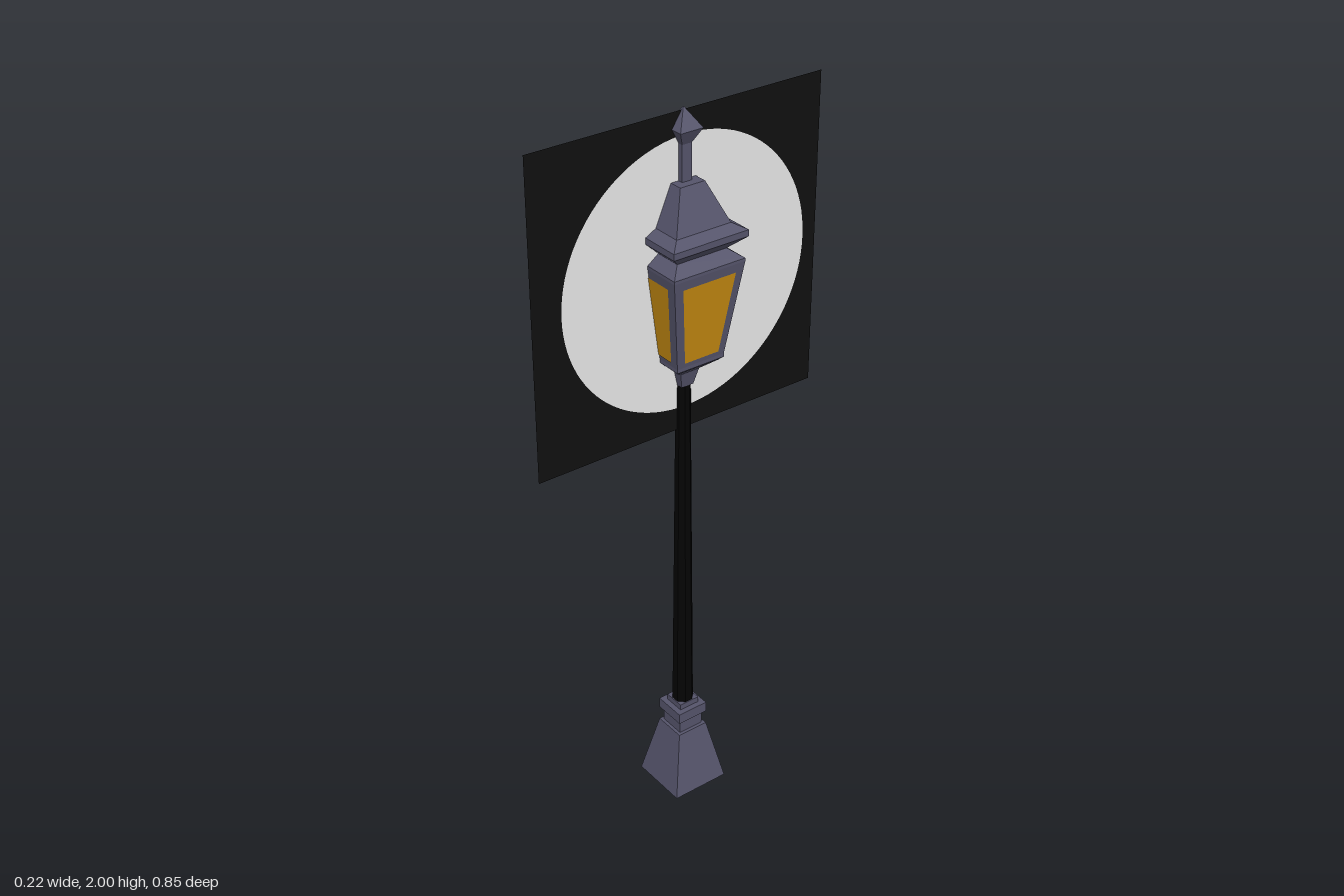
import * as THREE from 'three';

const mat = (name, color, extra = {}) => Object.assign(new THREE.MeshStandardMaterial({ color, ...extra }), { name });

// Turned profile of [halfWidth, y] pairs with a polygonal section, faceted
function turned(name, profile, material, sides = 4) {
  const k = 1 / Math.cos(Math.PI / sides);
  const pts = profile.map(([w, y]) => new THREE.Vector2(w * k, y));
  const geo = new THREE.LatheGeometry(pts, sides, Math.PI / sides).toNonIndexed();
  geo.computeVertexNormals();
  const mesh = new THREE.Mesh(geo, material);
  mesh.name = name;
  return mesh;
}

export function createModel() {
  const iron = mat('blue grey iron', 0x55546b);
  const black = mat('black pole', 0x040404);
  const amber = mat('amber glass', 0xc68b12);
  const haloDark = mat('halo black', 0x101010, { side: THREE.DoubleSide });
  const haloLight = mat('halo white', 0xf4f4f4, { side: THREE.DoubleSide });

  const model = new THREE.Group();
  model.name = 'streetLamp';
  const lamp = new THREE.Group();
  lamp.name = 'lampPost';
  lamp.position.z = -0.011;
  model.add(lamp);

  // Square foot with collar
  lamp.add(turned('base', [
    [0, 0], [0.084, 0], [0.046, 0.185], [0.037, 0.185], [0.037, 0.227],
    [0.046, 0.227], [0.046, 0.258], [0.03, 0.258], [0.03, 0.275], [0, 0.275],
  ], iron));

  // Tapered pole
  lamp.add(turned('pole', [[0.027, 0.27], [0.018, 1.28]], black, 8));

  // Lantern cup and flared body
  lamp.add(turned('lanternBody', [
    [0, 1.275], [0.018, 1.275], [0.028, 1.32], [0.062, 1.348], [0.071, 1.357],
    [0.071, 1.367], [0.105, 1.62], [0.105, 1.628], [0.072, 1.652], [0, 1.652],
  ], iron));

  // Roof with overhanging rim
  lamp.add(turned('roof', [
    [0, 1.645], [0.072, 1.65], [0.11, 1.685], [0.11, 1.702],
    [0.08, 1.718], [0.036, 1.82], [0, 1.82],
  ], iron));

  // Finial
  lamp.add(turned('finial', [
    [0.014, 1.815], [0.014, 1.913], [0.033, 1.95], [0, 2],
  ], iron));

  // One glass pane on each side of the lantern
  const depth = (y) => 0.071 + (y - 1.367) * (0.034 / 0.253) + 0.002;
  const [lo, hi] = [1.38, 1.597];
  const paneGeo = new THREE.BufferGeometry();
  paneGeo.setAttribute('position', new THREE.Float32BufferAttribute([
    -0.051, lo, depth(lo), 0.051, lo, depth(lo),
    0.078, hi, depth(hi), -0.078, hi, depth(hi),
  ], 3));
  paneGeo.setIndex([0, 1, 2, 0, 2, 3]);
  paneGeo.computeVertexNormals();
  for (let i = 0; i < 4; i++) {
    const pane = new THREE.Mesh(paneGeo, amber);
    pane.name = 'glassPane';
    pane.rotation.y = i * Math.PI / 2;
    lamp.add(pane);
  }

  // Upright halo card crossing the lantern: square border around a disc
  const s = 0.423, cx = 0.022, r = 0.362;
  const border = new THREE.Shape([[-s, -s], [s, -s], [s, s], [-s, s]].map((p) => new THREE.Vector2(...p)));
  border.holes.push(new THREE.Path().absarc(cx, 0, r, 0, Math.PI * 2, true));
  const disc = new THREE.Shape().absarc(cx, 0, r, 0, Math.PI * 2, false);
  const halo = new THREE.Group();
  halo.name = 'halo';
  halo.position.y = 1.569;
  halo.rotation.y = Math.PI / 2;
  for (const [name, shape, material] of [['haloBorder', border, haloDark], ['haloDisc', disc, haloLight]]) {
    const mesh = new THREE.Mesh(new THREE.ShapeGeometry(shape, 48), material);
    mesh.name = name;
    halo.add(mesh);
  }
  model.add(halo);
  return model;
}
